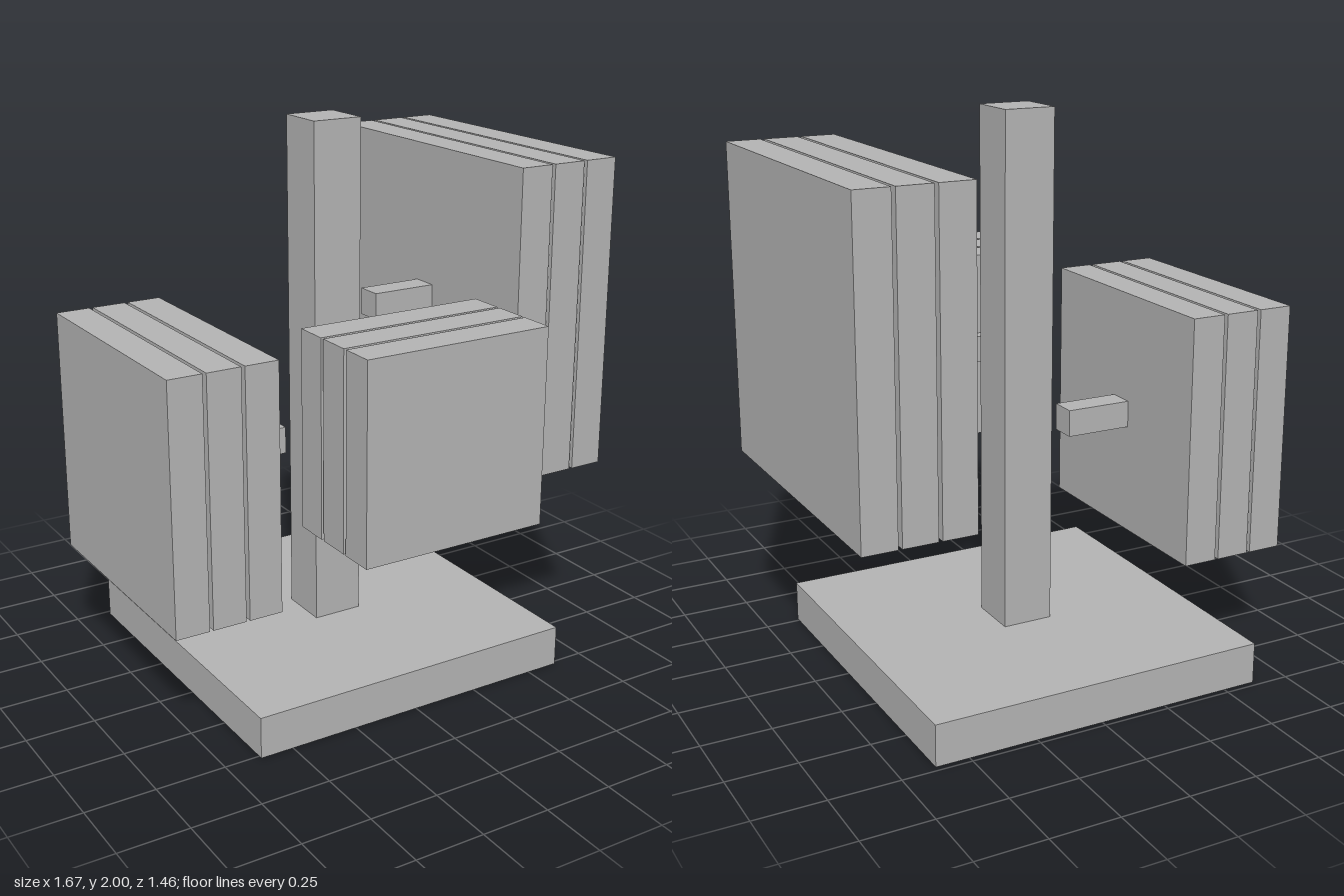
import * as THREE from 'three';

export function createModel() {
  const model = new THREE.Group();
  const grey = new THREE.MeshStandardMaterial({ color: 0xb2b2b2 });
  grey.name = 'plain grey';

  // Box given by its size and centre
  function box(parent, name, size, centre) {
    const mesh = new THREE.Mesh(new THREE.BoxGeometry(...size), grey);
    mesh.name = name;
    mesh.position.set(...centre);
    parent.add(mesh);
  }

  // Base and upright post
  box(model, 'base', [1.244, 0.15, 1.244], [0, 0.075, -0.107]);
  box(model, 'post', [0.186, 1.85, 0.186], [0, 1.075, -0.107]);

  // Three slabs side by side, spreading along +x from the group's origin
  const thickness = 0.124, pitch = 0.1373;
  function slabStack(name, size) {
    const stack = new THREE.Group();
    stack.name = name;
    for (let i = 0; i < 3; i++) {
      box(stack, 'slab' + (i + 1), [thickness, size, size], [i * pitch, 0, 0]);
    }
    model.add(stack);
    return stack;
  }

  // Large stack on the left, medium on the right, small in front
  slabStack('leftStack', 1.122).position.set(0.497, 1.303, -0.108);

  const right = slabStack('rightStack', 0.896);
  right.position.set(-0.499, 0.864, -0.108);
  right.rotation.y = Math.PI;

  const front = slabStack('frontStack', 0.695);
  front.position.set(0, 1.053, 0.39);
  front.rotation.y = -Math.PI / 2;

  // Short arms reaching into the stacks
  box(model, 'leftArm', [0.5, 0.098, 0.098], [0.439, 1.303, -0.107]);
  box(model, 'rightArm', [0.5, 0.098, 0.098], [-0.441, 0.864, -0.107]);
  box(model, 'frontArm', [0.5, 0.098, 0.098], [0, 1.053, 0.33]);

  return model;
}
